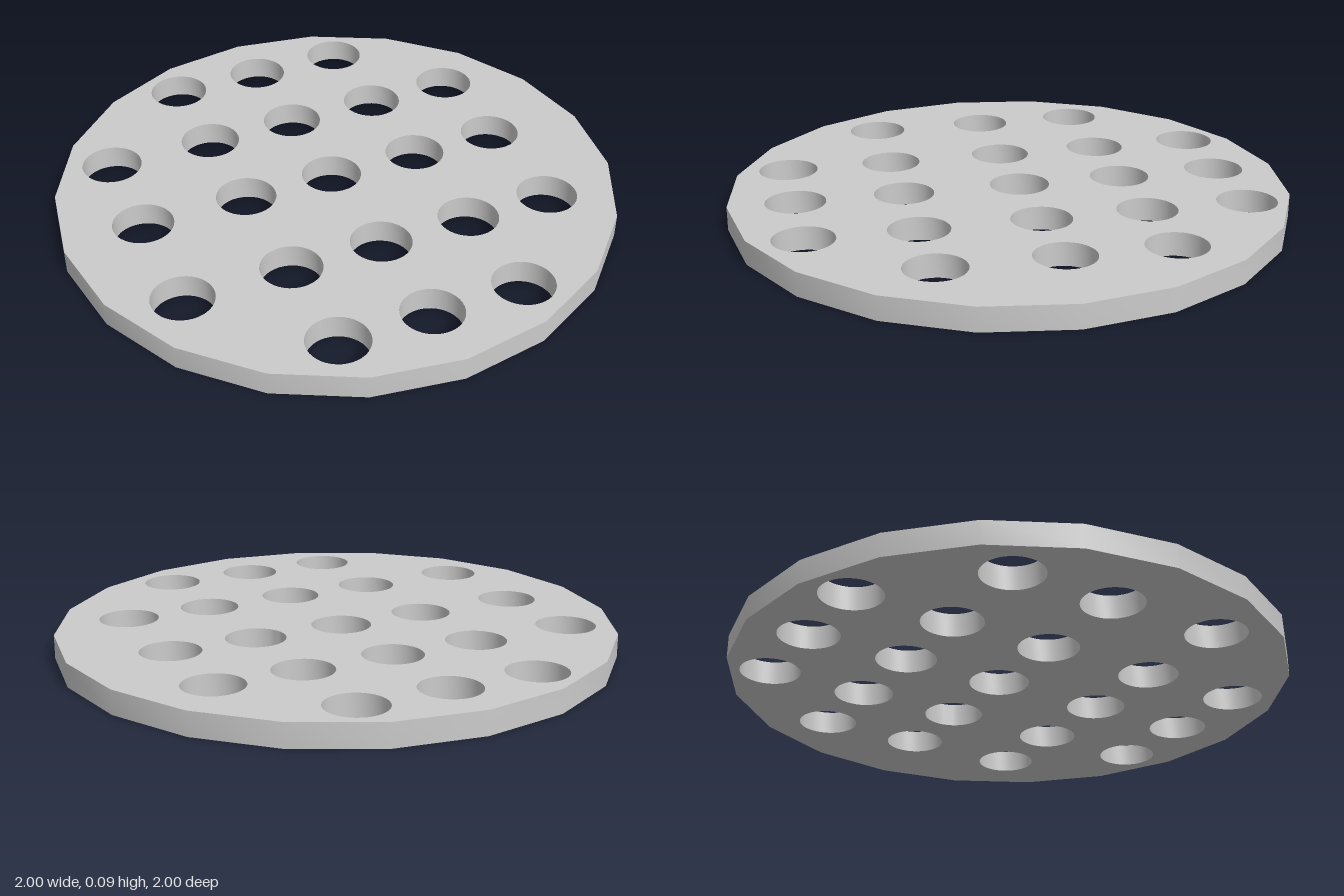
import * as THREE from 'three';
import { toCreasedNormals } from 'three/addons/utils/BufferGeometryUtils.js';

const SIDES = 20;
const THICKNESS = 0.085;
const HOLE_RADIUS = 0.107;
const COLUMNS = [-0.71, -0.33, 0, 0.335, 0.65];
const ROWS = [-0.78, -0.415, -0.04, 0.38, 0.763];

export function createModel() {
  const group = new THREE.Group();
  group.name = 'perforatedDisc';

  // Twenty-sided outline
  const outline = [];
  for (let i = 0; i < SIDES; i++) {
    const a = (i / SIDES) * Math.PI * 2;
    outline.push(new THREE.Vector2(Math.cos(a), Math.sin(a)));
  }
  const shape = new THREE.Shape(outline);

  // Round holes: outer rows only use the three middle columns
  ROWS.forEach((z, r) => {
    const outerRow = r === 0 || r === ROWS.length - 1;
    const columns = outerRow ? COLUMNS.slice(1, 4) : COLUMNS;
    for (const x of columns) {
      const hole = new THREE.Path();
      hole.absarc(x, -z, HOLE_RADIUS, 0, Math.PI * 2, true);
      shape.holes.push(hole);
    }
  });

  // Plate lying flat on the ground, smooth around the rim and hole walls
  const plate = new THREE.ExtrudeGeometry(shape, {
    depth: THICKNESS, bevelEnabled: false, curveSegments: 20,
  });
  plate.rotateX(-Math.PI / 2);

  const mesh = new THREE.Mesh(
    toCreasedNormals(plate, Math.PI / 4),
    new THREE.MeshStandardMaterial({ color: 0xcccccc }),
  );
  mesh.name = 'plate';
  group.add(mesh);
  return group;
}
